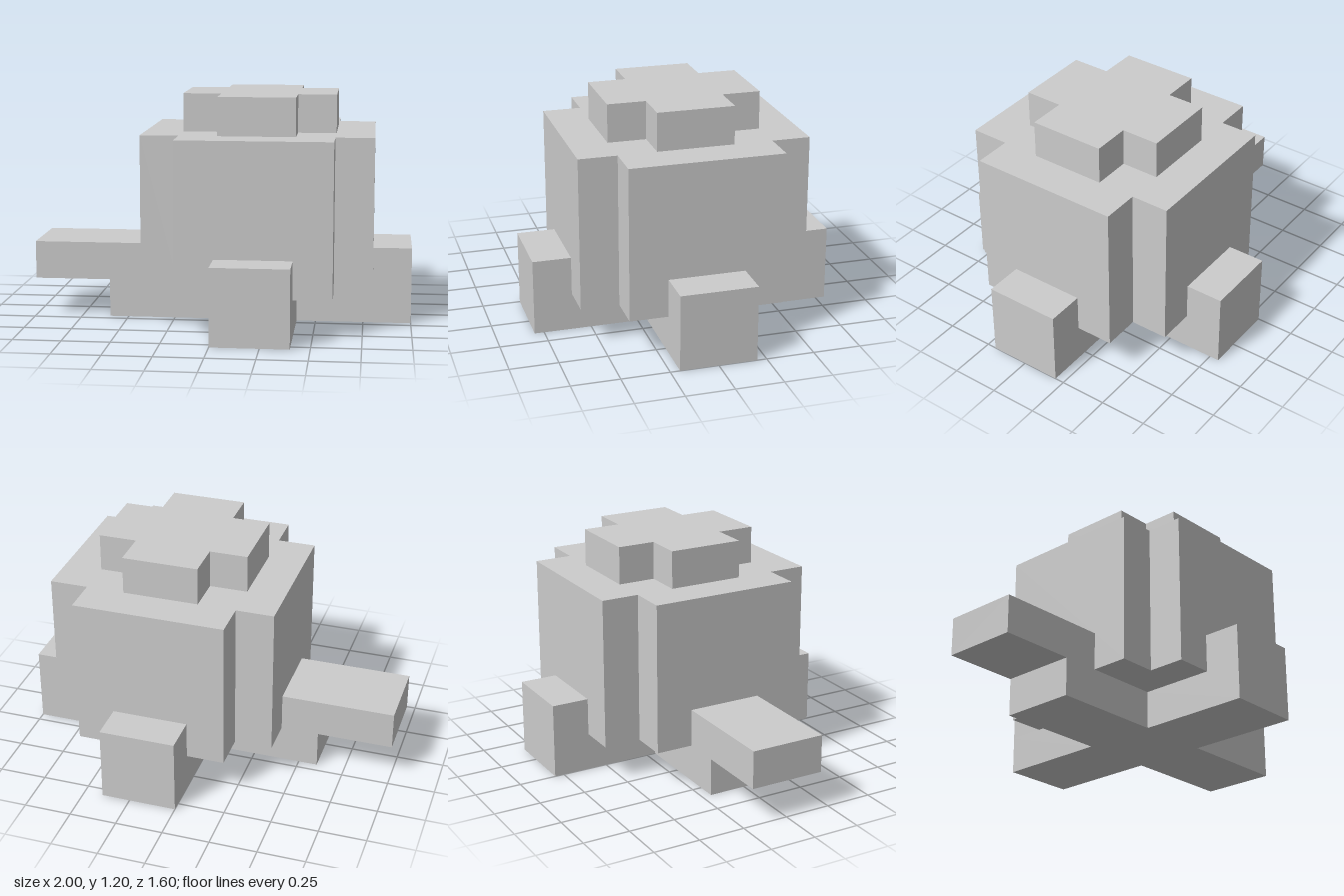
import * as THREE from 'three';

const material = new THREE.MeshStandardMaterial({ color: 0xcccccc, flatShading: true });

// Upright prism with a plus-shaped outline: arms reach `long`, each `short` half wide
function plusPrism(name, long, short, y0, y1) {
  const shape = new THREE.Shape([
    [long, -short], [long, short], [short, short], [short, long],
    [-short, long], [-short, short], [-long, short], [-long, -short],
    [-short, -short], [-short, -long], [short, -long], [short, -short],
  ].map(([x, y]) => new THREE.Vector2(x, y)));
  const geometry = new THREE.ExtrudeGeometry(shape, { depth: y1 - y0, bevelEnabled: false });
  geometry.rotateX(-Math.PI / 2).translate(0, y0, 0);
  const mesh = new THREE.Mesh(geometry, material);
  mesh.name = name;
  return mesh;
}

function box(name, w, h, d, x, y, z) {
  const mesh = new THREE.Mesh(new THREE.BoxGeometry(w, h, d), material);
  mesh.name = name;
  mesh.position.set(x, y, z);
  return mesh;
}

export function createModel() {
  const model = new THREE.Group();
  model.name = 'blockyBody';

  // Everything but the long arm is symmetric about x = 0.2
  const core = new THREE.Group();
  core.name = 'core';
  core.position.x = 0.2;
  core.add(
    plusPrism('crossBase', 0.8, 0.2, 0, 0.2),
    plusPrism('body', 0.6, 0.4, 0.2, 1),
    plusPrism('topCap', 0.4, 0.2, 1, 1.2),
  );

  // Raised ends of three base arms
  core.add(
    box('frontFoot', 0.4, 0.2, 0.2, 0, 0.3, 0.7),
    box('backFoot', 0.4, 0.2, 0.2, 0, 0.3, -0.7),
    box('leftFoot', 0.2, 0.2, 0.4, 0.7, 0.3, 0),
  );
  model.add(core);

  // Long arm reaching out over the fourth base arm
  model.add(box('rightArm', 0.6, 0.2, 0.4, -0.7, 0.3, 0));
  return model;
}
